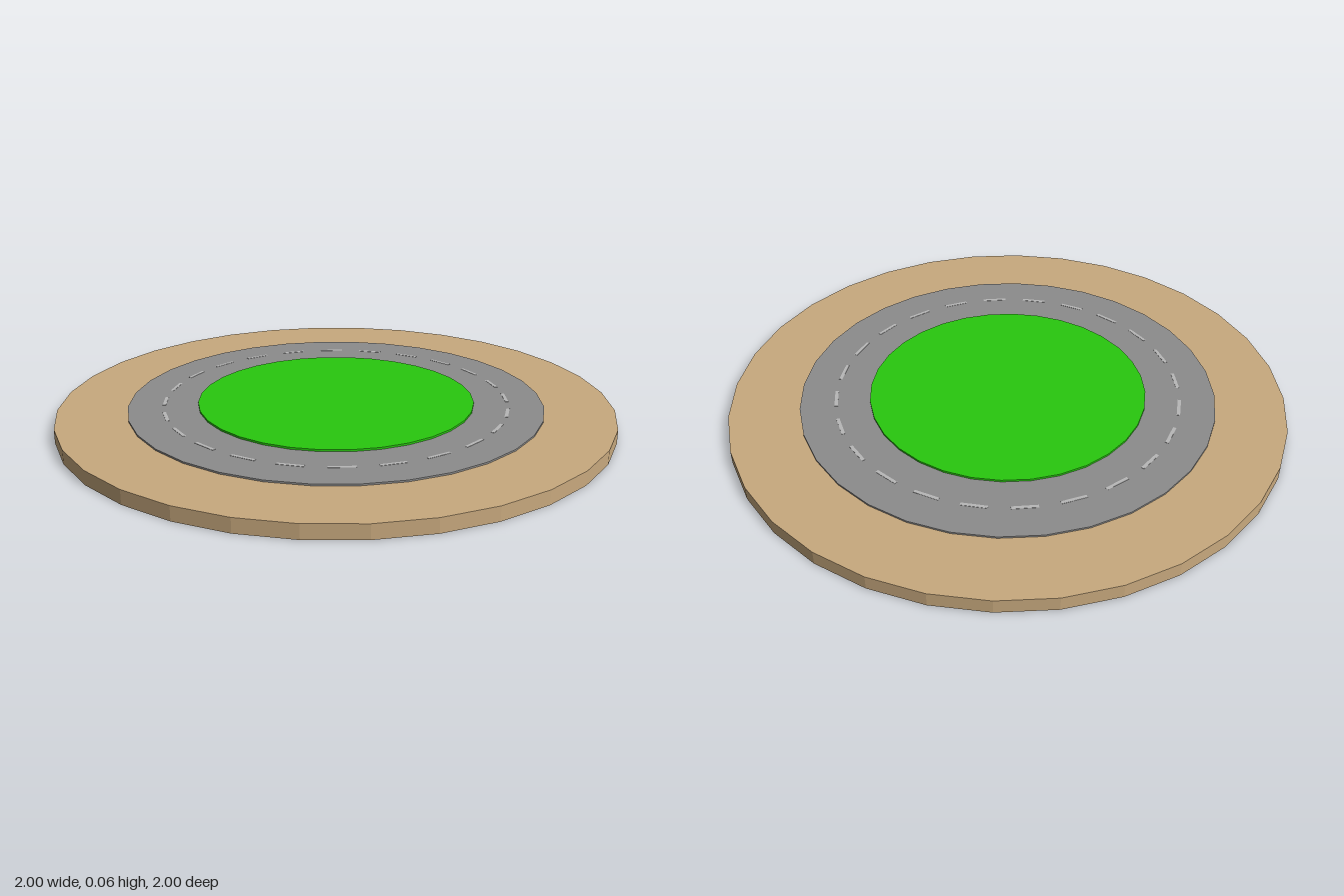
import * as THREE from 'three';

const SIDES = 32;
const DASHES = 24;

function paint(color) {
  return new THREE.MeshStandardMaterial({ color, flatShading: true });
}

// Flat faceted disc standing between two heights
function disc(name, radius, bottom, top, color) {
  const geometry = new THREE.CylinderGeometry(radius, radius, top - bottom, SIDES);
  const mesh = new THREE.Mesh(geometry, paint(color));
  mesh.name = name;
  mesh.position.y = (bottom + top) / 2;
  return mesh;
}

export function createModel() {
  const model = new THREE.Group();
  model.name = 'roundabout';

  // Stacked layers: sandy ground, road, central lawn
  model.add(
    disc('ground', 1, 0, 0.05, 0xc8a97e),
    disc('road', 0.75, 0.05, 0.056, 0x8c8c8c),
    disc('lawn', 0.5, 0.056, 0.063, 0x28c80e)
  );

  // Dashed centre line around the road
  const markings = new THREE.Group();
  markings.name = 'laneMarkings';
  const dashGeometry = new THREE.BoxGeometry(0.09, 0.001, 0.012);
  const dashMaterial = paint(0xb8b8b8);
  for (let i = 0; i < DASHES; i++) {
    const angle = (i / DASHES) * Math.PI * 2;
    const dash = new THREE.Mesh(dashGeometry, dashMaterial);
    dash.name = 'laneDash';
    dash.position.set(Math.sin(angle) * 0.62, 0.0565, Math.cos(angle) * 0.62);
    dash.rotation.y = angle;
    markings.add(dash);
  }
  model.add(markings);

  return model;
}
